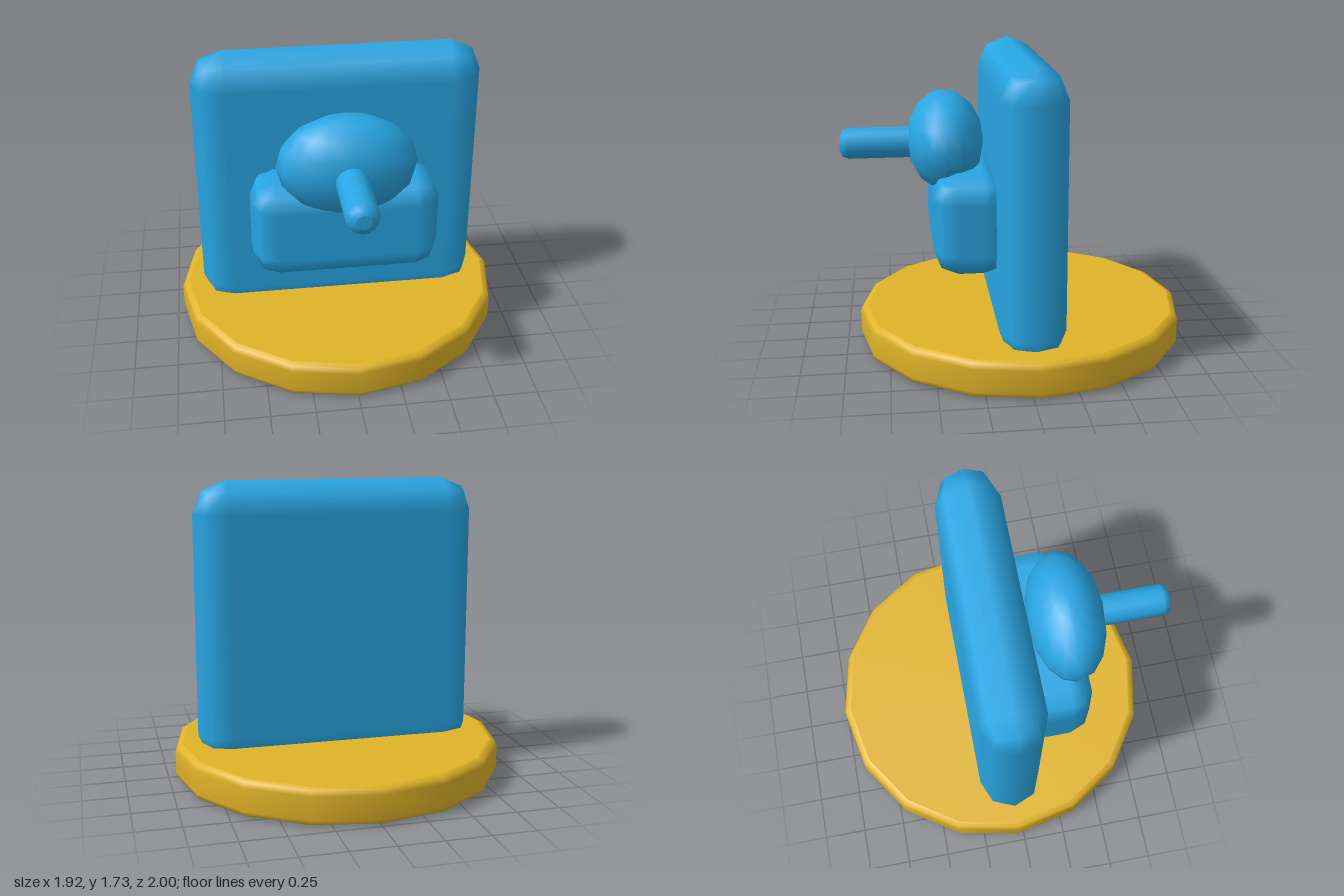
import * as THREE from 'three';
import { RoundedBoxGeometry } from 'three/addons/geometries/RoundedBoxGeometry.js';

const blue = new THREE.MeshStandardMaterial({ name: 'blue', color: 0x28a5e2 });
const gold = new THREE.MeshStandardMaterial({ name: 'gold', color: 0xe0b328 });

function part(name, geometry, material, x, y, z) {
  const mesh = new THREE.Mesh(geometry, material);
  mesh.name = name;
  mesh.position.set(x, y, z);
  return mesh;
}

// Sixteen-sided disc or rod along y, with rounded rims; extra points keep the ends flat
function roundedCylinder(radius, height, bevel) {
  const points = [new THREE.Vector2(0, 0), new THREE.Vector2(radius - bevel - 0.002, 0)];
  for (const [centreY, start] of [[bevel, -90], [height - bevel, 0]]) {
    for (let i = 0; i <= 2; i++) {
      const a = THREE.MathUtils.degToRad(start + i * 45);
      points.push(new THREE.Vector2(
        radius - bevel + bevel * Math.cos(a), centreY + bevel * Math.sin(a)));
    }
  }
  points.push(new THREE.Vector2(radius - bevel - 0.002, height), new THREE.Vector2(0, height));
  return new THREE.LatheGeometry(points, 16);
}

export function createModel() {
  const model = new THREE.Group();
  model.name = 'plaque';

  // Round base and the upright slab sunk into it
  model.add(part('base', roundedCylinder(0.96, 0.21, 0.04), gold, 0, 0, -0.04));
  model.add(part('slab', new RoundedBoxGeometry(1.65, 1.65, 0.37, 1, 0.185), blue, 0, 0.9, -0.035));

  // Block on the front of the slab
  model.add(part('block', new RoundedBoxGeometry(1.06, 0.57, 0.42, 1, 0.14), blue, 0, 0.805, 0.28));

  // Oval dome above the block
  const dome = new THREE.SphereGeometry(1, 16, 8).scale(0.39, 0.285, 0.222);
  model.add(part('dome', dome, blue, 0, 1.21, 0.398));

  // Rod pointing forward out of the dome
  const rod = roundedCylinder(0.09, 0.6, 0.05).rotateX(Math.PI / 2);
  model.add(part('rod', rod, blue, 0, 1.2, 0.4));

  return model;
}
